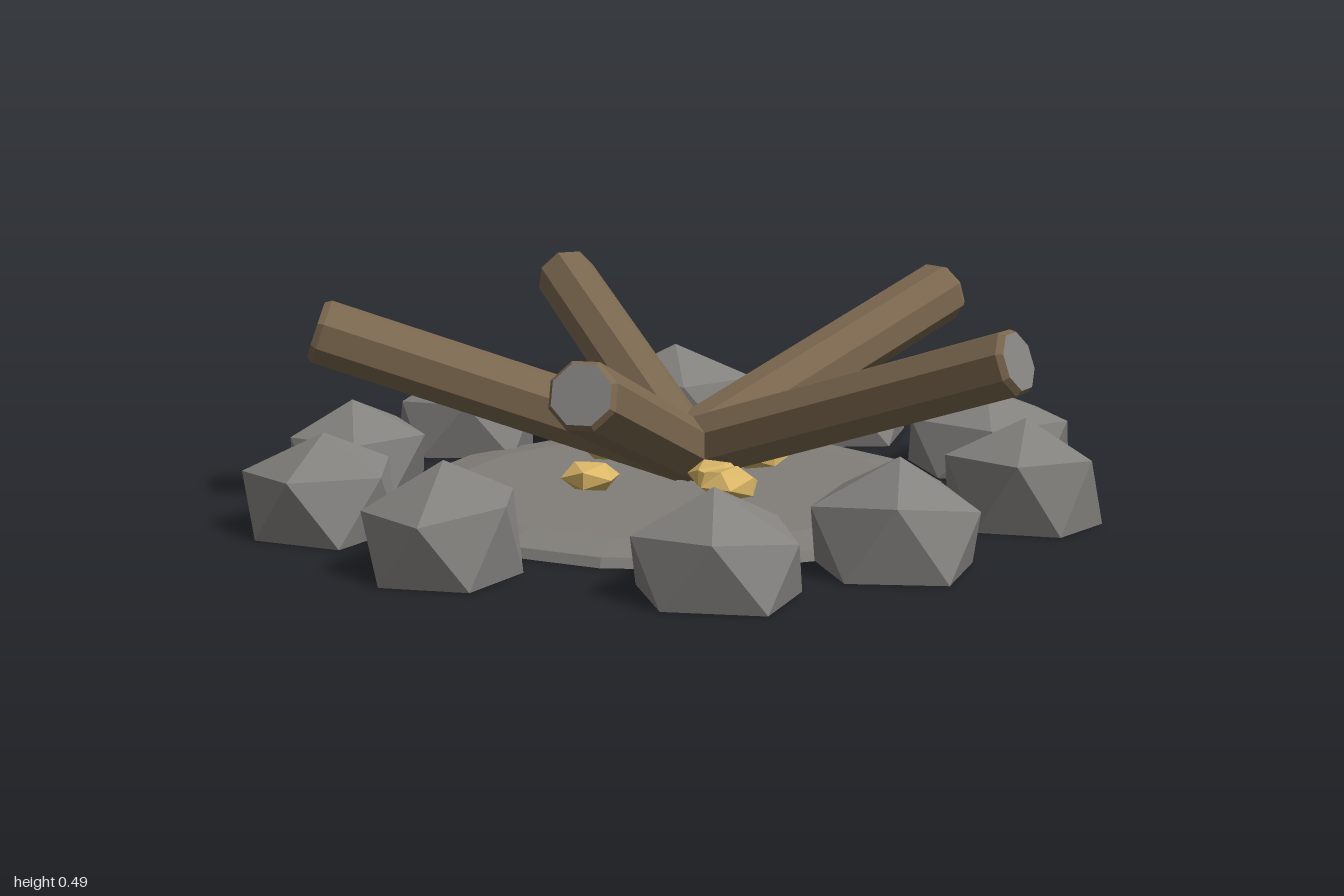
import * as THREE from 'three';
import { ConvexGeometry } from 'three/addons/geometries/ConvexGeometry.js';

const flat = (color, name) => {
  const m = new THREE.MeshStandardMaterial({ color, flatShading: true });
  m.name = name;
  return m;
};

export function createModel() {
  const stone = flat(0x858380, 'stone grey');
  const ash = flat(0x827f7a, 'ash grey');
  const wood = flat(0x7c6850, 'bark brown');
  const chipColor = flat(0xdcb868, 'ember yellow');

  const group = new THREE.Group();
  group.name = 'campfire';
  const add = (parent, name, geometry, material) => {
    const mesh = new THREE.Mesh(geometry, material);
    mesh.name = name;
    parent.add(mesh);
    return mesh;
  };

  let seed = 7;
  const rand = () => {
    seed = (seed * 16807) % 2147483647;
    return seed / 2147483647 - 0.5;
  };

  // Ash bed: low rim with a slightly raised middle
  const bed = new THREE.Group();
  bed.name = 'ashBed';
  bed.position.set(-0.02, 0, 0.01);
  group.add(bed);
  add(bed, 'ashRim', new THREE.CylinderGeometry(0.655, 0.665, 0.022, 16), ash).position.y = 0.011;
  add(bed, 'ashMound', new THREE.CylinderGeometry(0.54, 0.65, 0.016, 16), ash).position.y = 0.03;

  // Ring stones: peaked, five-sided rocks with a flat base, fitted to a box
  // [xMin, xMax, zMin, zMax, height, yaw]
  const stones = [
    [0.0, 0.4, -1.0, -0.63, 0.24, 0.0],
    [-0.4, 0.0, -0.9, -0.6, 0.24, 0.1],
    [-0.89, -0.51, -0.57, -0.27, 0.22, 0.05],
    [-1.0, -0.65, -0.13, 0.18, 0.21, 0.0],
    [-0.91, -0.56, 0.31, 0.68, 0.23, 0.4],
    [-0.51, -0.17, 0.62, 0.98, 0.25, 0.3],
    [0.09, 0.46, 0.63, 0.99, 0.23, 0.2],
    [0.42, 0.79, 0.35, 0.67, 0.25, 0.1],
    [0.64, 1.0, -0.09, 0.2, 0.25, 0.3],
    [0.45, 0.86, -0.72, -0.36, 0.2, 0.15],
  ];
  const ring = new THREE.Group();
  ring.name = 'stoneRing';
  group.add(ring);
  stones.forEach(([x0, x1, z0, z1, h, yaw]) => {
    const points = [new THREE.Vector3(rand() * 0.2, h, rand() * 0.2)];
    for (let i = 0; i < 10; i++) {
      const a = yaw + (i * Math.PI) / 5;
      const r = 1 + rand() * 0.16;
      const y = i % 2 ? 0 : h * (0.62 + rand() * 0.12);
      points.push(new THREE.Vector3(Math.cos(a) * r, y, Math.sin(a) * r));
    }
    const box = new THREE.Box3().setFromPoints(points);
    points.forEach((p) => {
      p.x = THREE.MathUtils.mapLinear(p.x, box.min.x, box.max.x, x0, x1);
      p.z = THREE.MathUtils.mapLinear(p.z, box.min.z, box.max.z, z0, z1);
    });
    add(ring, 'stone', new ConvexGeometry(points), stone);
  });

  // Logs: eight-sided, leaning outwards from the middle, with grey cut ends
  const radius = 0.079, length = 0.925, bevel = 0.015;
  const body = new THREE.CylinderGeometry(radius, radius, length - bevel, 8, 1, true, Math.PI / 8);
  body.translate(0, (length - bevel) / 2, 0);
  const edge = new THREE.CylinderGeometry(radius - 0.01, radius, bevel, 8, 1, true, Math.PI / 8);
  edge.translate(0, length - bevel / 2, 0);
  const cut = new THREE.CircleGeometry(radius - 0.01, 8, Math.PI / 8);
  cut.rotateX(-Math.PI / 2);
  const foot = new THREE.CircleGeometry(radius, 8, Math.PI / 8);
  foot.rotateX(Math.PI / 2);
  for (let i = 0; i < 5; i++) {
    const a = (i * 2 * Math.PI) / 5;
    const log = new THREE.Group();
    log.name = 'log';
    add(log, 'logBark', body, wood);
    add(log, 'logEdge', edge, wood);
    add(log, 'logCutEnd', cut, stone).position.y = length;
    add(log, 'logFoot', foot, stone);
    log.rotation.set(Math.PI / 2 - 0.335, a, 0, 'YXZ');
    log.position.y = 0.12;
    group.add(log);
  }

  // Glowing chips under the logs: [x, y, z, size]
  const chips = [
    [-0.15, 0.115, 0.3, 0.066],
    [0.18, 0.115, 0.3, 0.07],
    [0.11, 0.1, 0.15, 0.062],
    [0.17, 0.11, -0.07, 0.075],
    [-0.01, 0.09, -0.17, 0.062],
    [-0.2, 0.11, -0.04, 0.065],
  ];
  const chipShape = new THREE.IcosahedronGeometry(1, 0);
  chips.forEach(([x, y, z, s], i) => {
    const chip = add(group, 'emberChip', chipShape, chipColor);
    chip.position.set(x, y, z);
    chip.scale.set(s * 1.08, s * 0.58, s * 1.05);
    chip.rotation.y = i * 1.3;
  });

  return group;
}
